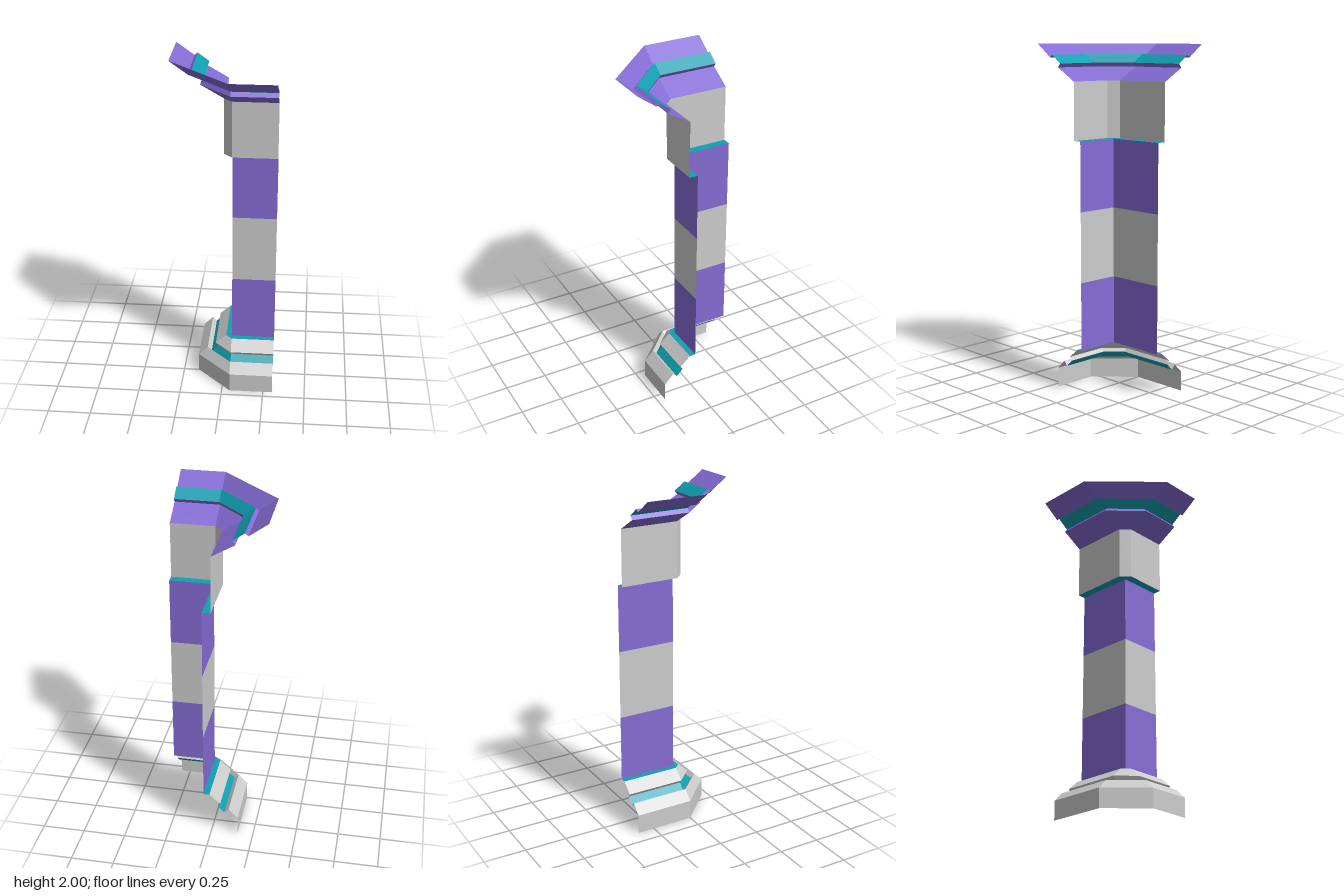
import * as THREE from 'three';

const CORNER_X = 0.047, END_X = 0.305, END_Z = -0.352;
const GREY = 0xcccccc, PURPLE = 0x846cd4, TEAL = 0x109fb0;

// Plan of the corner wall pushed outward by d, with a chamfered corner
const plan = (d) => [
  [END_X, d], [CORNER_X, d], [CORNER_X - d, 0], [CORNER_X - d, END_Z],
];

// Open strip between two [outset, height] rings
function band(lower, upper) {
  const a = plan(lower[0]), b = plan(upper[0]);
  const positions = [];
  for (let i = 0; i < a.length - 1; i++) {
    const p = ([x, z], y) => new THREE.Vector3(x, y, z);
    const l0 = p(a[i], lower[1]), l1 = p(a[i + 1], lower[1]);
    const u0 = p(b[i], upper[1]), u1 = p(b[i + 1], upper[1]);
    for (const tri of [[l0, u0, u1], [l0, u1, l1]]) {
      if (new THREE.Triangle(...tri).getArea() < 1e-7) continue;
      tri.forEach((v) => positions.push(v.x, v.y, v.z));
    }
  }
  const geometry = new THREE.BufferGeometry();
  geometry.setAttribute('position', new THREE.Float32BufferAttribute(positions, 3));
  geometry.computeVertexNormals();
  return geometry;
}

export function createModel() {
  const model = new THREE.Group();
  model.name = 'cornerPillar';
  const materials = {};
  for (const color of [GREY, PURPLE, TEAL]) {
    materials[color] = new THREE.MeshStandardMaterial({ color, flatShading: true, side: THREE.DoubleSide });
  }

  // Each row: outset, height, then name and colour of the band rising from it
  const sections = {
    base: [
      [0.205, 0, 'plinth', GREY],
      [0.205, 0.115, 'plinthBevel', GREY],
      [0.15, 0.17, 'grooveLip', GREY],
      [0.125, 0.145, 'baseGroove', TEAL],
      [0.085, 0.185, 'upperLip', GREY],
      [0.1, 0.205, 'upperBevel', GREY],
      [0.035, 0.262, 'baseLedge', TEAL],
      [0, 0.262],
    ],
    shaft: [
      [0, 0.262, 'lowerPanel', PURPLE],
      [0, 0.66, 'middlePanel', GREY],
      [0, 1.068, 'upperPanel', PURPLE],
      [0, 1.466],
    ],
    capital: [
      [0, 1.466, 'neckUnderside', TEAL],
      [0.05, 1.466, 'neckBlock', GREY],
      [0.05, 1.795, 'lowerFlare', PURPLE],
      [0.18, 1.87, 'flareLip', PURPLE],
      [0.163, 1.892, 'capitalGroove', TEAL],
      [0.23, 1.94, 'crownLip', PURPLE],
      [0.248, 1.925, 'crownFlare', PURPLE],
      [0.352, 2],
    ],
  };

  for (const [name, rows] of Object.entries(sections)) {
    const group = new THREE.Group();
    group.name = name;
    for (let i = 0; i < rows.length - 1; i++) {
      const mesh = new THREE.Mesh(band(rows[i], rows[i + 1]), materials[rows[i][3]]);
      mesh.name = rows[i][2];
      group.add(mesh);
    }
    model.add(group);
  }
  return model;
}
